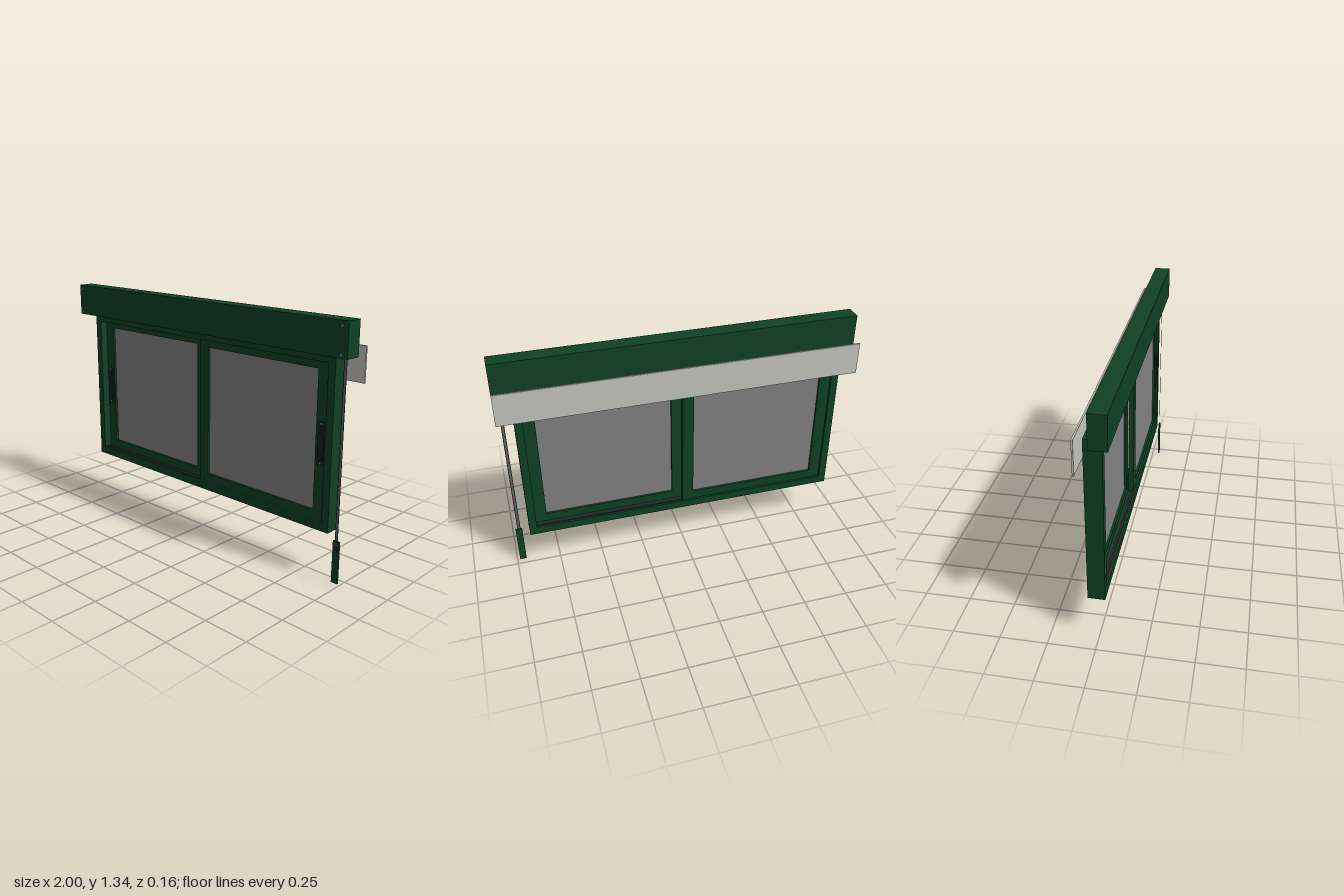
import * as THREE from 'three';

const mat = (name, color) => {
  const m = new THREE.MeshStandardMaterial({ color });
  m.name = name;
  return m;
};

export function createModel() {
  const green = mat('greenPaint', 0x0f4224);
  const glass = mat('greyGlass', 0x838383);
  const black = mat('blackPlastic', 0x212123);
  const pale = mat('paleSlat', 0xc6c7bf);
  const strapGrey = mat('strapGrey', 0x68686a);
  const strapDark = mat('strapEdge', 0x39393b);
  const steel = mat('steel', 0x8b8d8c);
  strapGrey.side = strapDark.side = THREE.DoubleSide;

  const model = new THREE.Group();
  model.name = 'slidingWindow';

  const add = (parent, name, geometry, material) => {
    const mesh = new THREE.Mesh(geometry, material);
    mesh.name = name;
    parent.add(mesh);
    return mesh;
  };
  // Box given by its limits on each axis
  const box = (parent, name, material, x0, x1, y0, y1, z0, z1) => {
    const mesh = add(parent, name, new THREE.BoxGeometry(x1 - x0, y1 - y0, z1 - z0), material);
    mesh.position.set((x0 + x1) / 2, (y0 + y1) / 2, (z0 + z1) / 2);
    return mesh;
  };
  const rect = (target, x0, x1, y0, y1) => {
    target.moveTo(x0, y0);
    target.lineTo(x1, y0);
    target.lineTo(x1, y1);
    target.lineTo(x0, y1);
    target.closePath();
    return target;
  };
  // Rectangular frame with an opening
  const frame = (parent, name, outer, inner, z0, z1) => {
    const shape = rect(new THREE.Shape(), ...outer);
    shape.holes.push(rect(new THREE.Path(), ...inner));
    const geo = new THREE.ExtrudeGeometry(shape, { depth: z1 - z0, bevelEnabled: false });
    add(parent, name, geo, green).position.z = z0;
  };
  const screw = (parent, x, y, z, r, material) => {
    const geo = new THREE.CylinderGeometry(r, r, 0.004, 12).rotateX(Math.PI / 2);
    add(parent, 'screw', geo, material).position.set(x, y, z);
  };

  // Outer frame
  frame(model, 'outerFrame', [-0.907, 0.907, 0.25, 1.16], [-0.865, 0.865, 0.295, 1.12], -0.055, 0.035);

  // Two sliding sashes on separate tracks: +x in front, -x behind
  for (const side of [1, -1]) {
    const sash = new THREE.Group();
    sash.name = side > 0 ? 'leftSash' : 'rightSash';
    model.add(sash);
    const span = (a, b) => (side > 0 ? [a, b] : [-b, -a]);
    const z = side > 0 ? 0.007 : -0.027;
    frame(sash, 'sashFrame', [...span(-0.004, 0.865), 0.295, 1.12],
      [...span(0.06, 0.8), 0.345, 1.08], z - 0.015, z + 0.015);
    box(sash, 'pane', glass, ...span(0.058, 0.802), 0.343, 1.082, z - 0.003, z + 0.003);

    // Grip on the outer stile
    const f = z + 0.015;
    box(sash, 'gripPlate', black, ...span(0.813, 0.857), 0.59, 0.82, f, f + 0.005);
    box(sash, 'gripBar', black, ...span(0.82, 0.85), 0.62, 0.765, f + 0.005, f + 0.011);
    box(sash, 'gripLatch', black, ...span(0.824, 0.846), 0.775, 0.8, f + 0.005, f + 0.008);
    for (const y of [0.603, 0.81]) screw(sash, side * 0.835, y, f + 0.005, 0.005, steel);

    // Dark sill channel in the empty half of each track
    const t = side > 0 ? -0.032 : 0.012;
    box(model, 'sillTrack', black, ...span(0.006, 0.863), 0.295, 0.299, t - 0.011, t + 0.011);
  }

  // Shutter box with corner screws
  box(model, 'headerBox', green, -1, 1, 1.16, 1.34, -0.01, 0.08);
  for (const x of [-0.968, 0.965]) {
    for (const y of [1.178, 1.315]) screw(model, x, y, 0.081, 0.006, steel);
  }

  // Pale slat behind the window
  box(model, 'shutterSlat', pale, -1, 1, 1.022, 1.205, -0.082, -0.073);

  // Flat pull strap with dark edges
  const strip = (name, material, x, width, y0, y1) => {
    add(model, name, new THREE.PlaneGeometry(width, y1 - y0), material)
      .position.set(x, (y0 + y1) / 2, 0.04);
  };
  strip('strap', strapGrey, 0.965, 0.008, 0.22, 1.17);
  for (const s of [-1, 1]) strip('strapEdge', strapDark, 0.965 + s * 0.0065, 0.005, 0.22, 1.17);

  // Strap winder plate
  box(model, 'winderPlate', green, 0.947, 0.985, 0, 0.23, 0.035, 0.044);
  box(model, 'winderSlot', black, 0.955, 0.977, 0.17, 0.205, 0.043, 0.045);
  box(model, 'winderGuide', strapDark, 0.955, 0.977, 0.205, 0.228, 0.043, 0.0455);

  return model;
}
